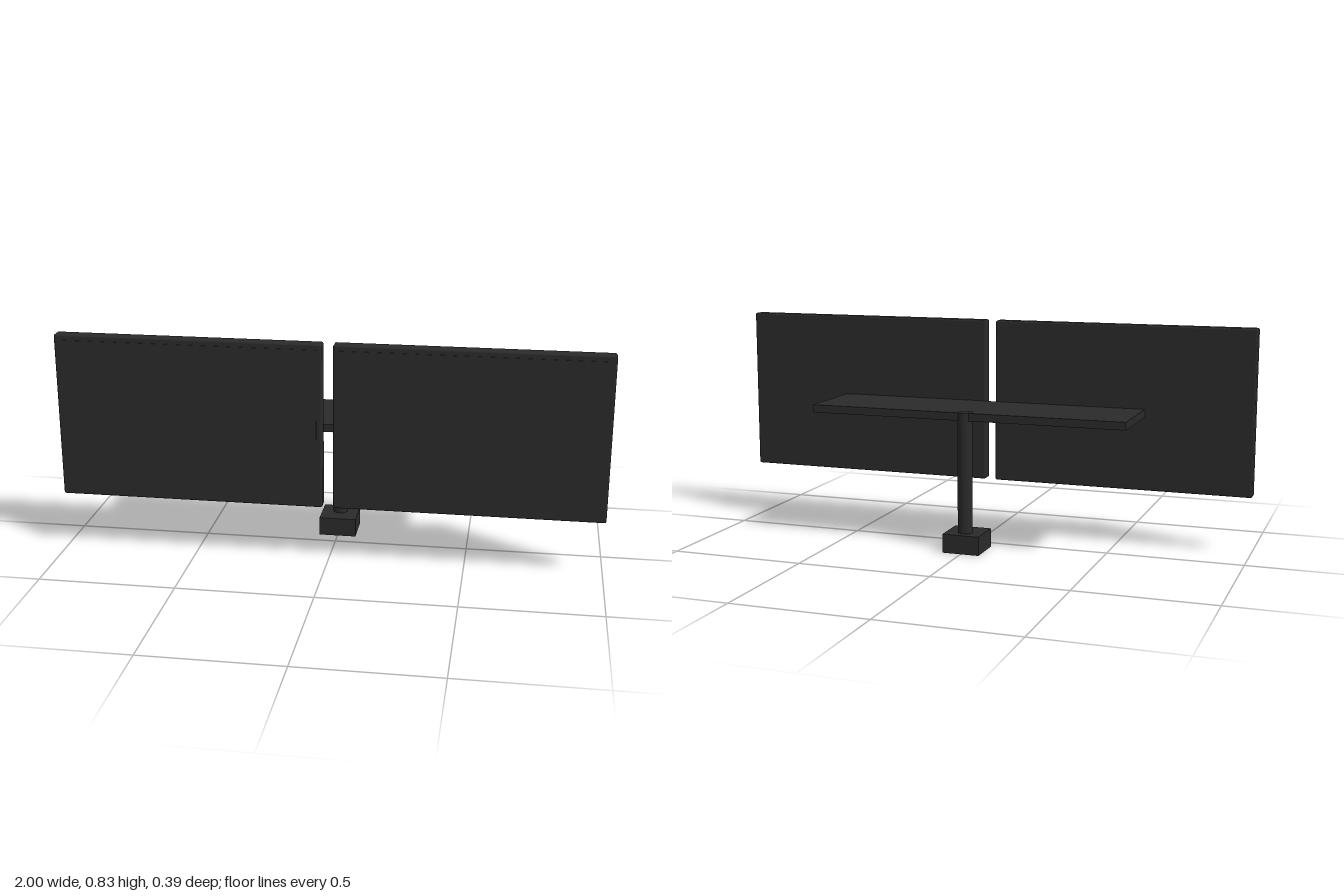
import * as THREE from 'three';
import { RoundedBoxGeometry } from 'three/addons/geometries/RoundedBoxGeometry.js';

export function createModel() {
  const group = new THREE.Group();
  const charcoal = new THREE.MeshStandardMaterial({ color: 0x2a2a2a });
  charcoal.name = 'charcoal plastic';

  function add(name, geometry, x, y, z) {
    const mesh = new THREE.Mesh(geometry, charcoal);
    mesh.name = name;
    mesh.position.set(x, y, z);
    group.add(mesh);
  }

  // Two side-by-side monitors, each with a thin raised screen
  for (const [side, s] of [['left', 1], ['right', -1]]) {
    add(side + 'Monitor', new RoundedBoxGeometry(0.98, 0.614, 0.05, 2, 0.007), s * 0.51, 0.519, 0.167);
    add(side + 'Screen', new THREE.BoxGeometry(0.94, 0.574, 0.004), s * 0.51, 0.519, 0.192);
  }

  // Horizontal support shelf behind the monitors
  add('supportArm', new THREE.BoxGeometry(1.2, 0.029, 0.301), 0, 0.5025, -0.0085);

  // Round pole, reaching just through the shelf
  add('pole', new THREE.CylinderGeometry(0.0275, 0.0275, 0.516, 32), 0, 0.26, -0.1405);

  // Desk clamp block
  add('clampBase', new THREE.BoxGeometry(0.14, 0.07, 0.14), 0, 0.035, -0.124);

  return group;
}
